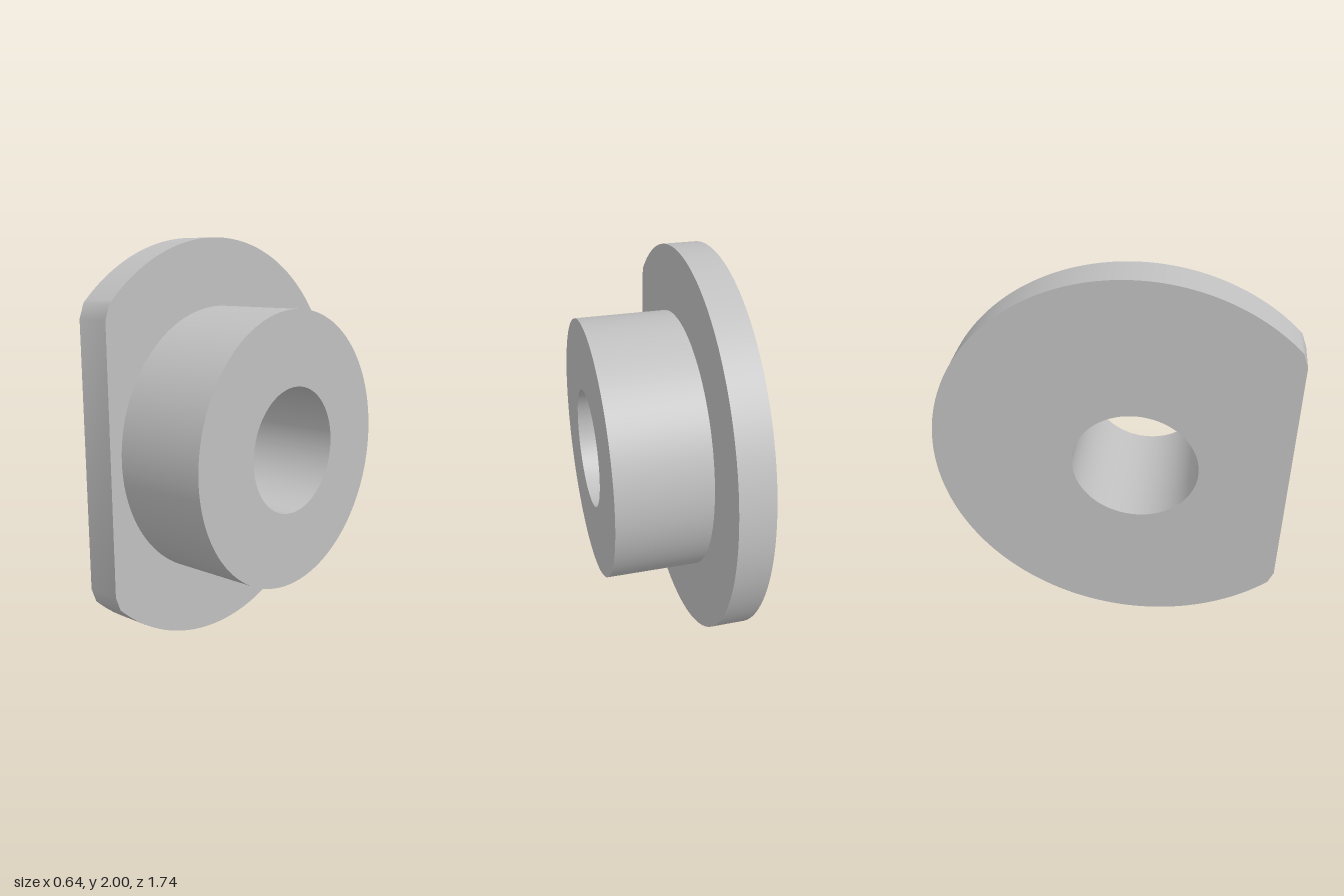
import * as THREE from 'three';
import { toCreasedNormals } from 'three/addons/utils/BufferGeometryUtils.js';

const BORE = 0.307, HUB = 0.67, FLANGE = 1;

// Extrudes an outline, pierced by the bore, along x between two positions.
function boredPlate(name, shape, x0, x1, material) {
  const bore = new THREE.Path();
  bore.absarc(0, 0, BORE, 0, Math.PI * 2, true);
  shape.holes.push(bore);
  const extruded = new THREE.ExtrudeGeometry(shape, {
    depth: x1 - x0, bevelEnabled: false, curveSegments: 96,
  });
  extruded.translate(0, 0, x0);
  extruded.rotateY(Math.PI / 2); // outline x becomes -z
  const mesh = new THREE.Mesh(toCreasedNormals(extruded, 0.5), material);
  mesh.name = name;
  return mesh;
}

export function createModel() {
  const metal = new THREE.MeshStandardMaterial({ color: 0xc0c0c0 });
  metal.name = 'light grey metal';

  // Round flange with one flat side and eased corners
  const flat = -0.735, flatHalf = 0.635;
  const corner = Math.PI * 0.751;
  const flangeShape = new THREE.Shape();
  flangeShape.absarc(0, 0, FLANGE, -corner, corner, false);
  flangeShape.lineTo(flat, flatHalf);
  flangeShape.lineTo(flat, -flatHalf);
  flangeShape.closePath();

  // Cylindrical hub
  const hubShape = new THREE.Shape();
  hubShape.absarc(0, 0, HUB, 0, Math.PI * 2, false);

  const model = new THREE.Group();
  model.name = 'flangedBushing';
  model.add(
    boredPlate('flange', flangeShape, -0.322, -0.15, metal),
    boredPlate('hub', hubShape, -0.15, 0.322, metal),
  );
  // The bore axis sits off centre because of the flat side
  for (const part of model.children) part.position.set(0, 1, 0.1325);
  return model;
}
